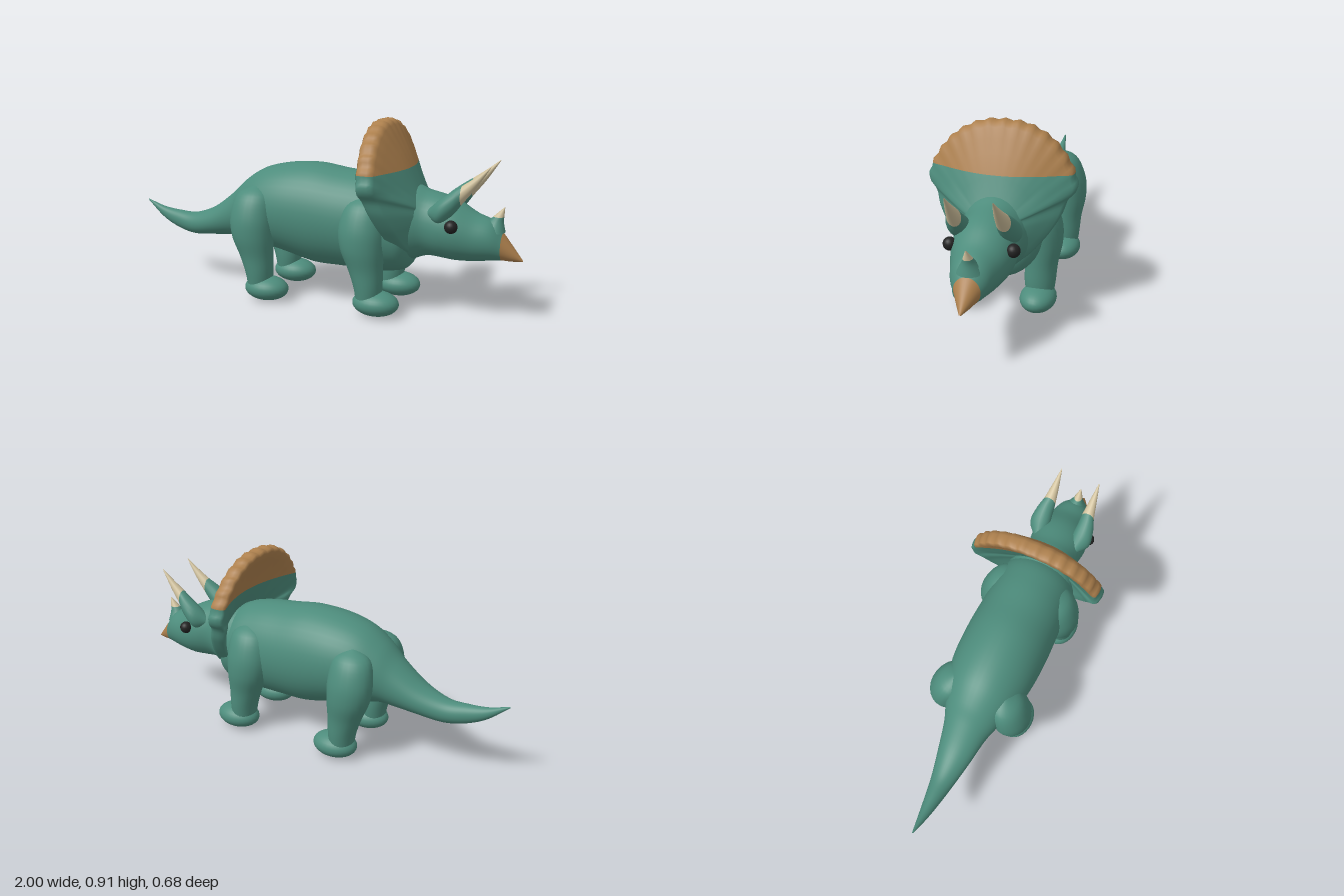
import * as THREE from 'three';

const paint = (color) => new THREE.MeshStandardMaterial({ color });
const GREEN = paint(0x4d8c7c), BROWN = paint(0xad804d), BONE = paint(0xcfc09c), BLACK = paint(0x222222);

// Smooth skin over closed rings that run counter-clockwise about the direction of travel
function skin(rings) {
  const n = rings[0].length, index = [];
  for (let i = 0; i < rings.length - 1; i++) {
    for (let j = 0; j < n; j++) {
      const k = (j + 1) % n, a = i * n + j, b = i * n + k;
      index.push(a, b, a + n, b, b + n, a + n);
    }
  }
  const g = new THREE.BufferGeometry().setFromPoints(rings.flat());
  g.setIndex(index);
  g.computeVertexNormals();
  return g;
}

// Elliptical loft along x or y; station = [x, y, z, first radius, z radius]
function loft(axis, stations, sides = 32, steps = 5) {
  const spline = (f) => new THREE.CatmullRomCurve3(stations.map(f), false, 'catmullrom', 0.5);
  const centre = spline((s) => new THREE.Vector3(s[0], s[1], s[2]));
  const radius = spline((s) => new THREE.Vector3(s[3], s[4], 0));
  const count = (stations.length - 1) * steps, rings = [];
  for (let i = 0; i <= count; i++) {
    const c = centre.getPoint(i / count), r = radius.getPoint(i / count), ring = [];
    const ra = Math.max(r.x, 0.001), rz = Math.max(r.y, 0.001);
    for (let j = 0; j < sides; j++) {
      const t = (j / sides) * Math.PI * 2, p = c.clone();
      if (axis === 'x') p.add(new THREE.Vector3(0, ra * Math.cos(t), rz * Math.sin(t)));
      else p.add(new THREE.Vector3(ra * Math.sin(t), 0, rz * Math.cos(t)));
      ring.push(p);
    }
    rings.push(ring);
  }
  return skin(rings);
}

// Keeps the part of a geometry on one side of an axis-aligned plane
function clip(geometry, axis, value, sign) {
  const g = geometry.toNonIndexed(), P = g.attributes.position, N = g.attributes.normal;
  const pos = [], nor = [];
  for (let i = 0; i < P.count; i += 3) {
    const tri = [0, 1, 2].map((k) => ({
      p: new THREE.Vector3().fromBufferAttribute(P, i + k),
      n: new THREE.Vector3().fromBufferAttribute(N, i + k),
    }));
    const out = [];
    tri.forEach((a, k) => {
      const b = tri[(k + 1) % 3];
      const da = sign * (a.p[axis] - value), db = sign * (b.p[axis] - value);
      if (da >= 0) out.push(a);
      if (da * db < 0) {
        const t = da / (da - db);
        out.push({ p: a.p.clone().lerp(b.p, t), n: a.n.clone().lerp(b.n, t).normalize() });
      }
    });
    for (let k = 1; k < out.length - 1; k++) {
      for (const v of [out[0], out[k], out[k + 1]]) {
        pos.push(...v.p.toArray());
        nor.push(...v.n.toArray());
      }
    }
  }
  const result = new THREE.BufferGeometry();
  result.setAttribute('position', new THREE.Float32BufferAttribute(pos, 3));
  result.setAttribute('normal', new THREE.Float32BufferAttribute(nor, 3));
  return result;
}

// Broad, dished neck shield with a scalloped rolled rim
function frillGeometry() {
  const half = [[0, 0.9], [0.1, 0.89], [0.19, 0.85], [0.26, 0.79], [0.32, 0.7], [0.338, 0.62],
    [0.3, 0.57], [0.275, 0.5], [0.21, 0.4], [0.12, 0.31], [0, 0.28]];
  const loop = [...half, ...half.slice(1, -1).reverse().map(([z, y]) => [-z, y])];
  const outline = new THREE.CatmullRomCurve3(loop.map(([z, y]) => new THREE.Vector3(0, y, z)), true, 'catmullrom', 0.5);
  const edge = outline.getSpacedPoints(120).slice(0, 120);
  const middle = 0.47;
  const leanX = (y) => (y > 0.6 ? 0.33 + (0.91 - y) * 0.1 : 0.361 + (0.6 - y) * 0.36);
  // [scale, x offset] from the middle of the back, over the rim, to the middle of the front
  const profile = [[0.1, 0.07], [0.3, 0.055], [0.5, 0.03], [0.7, 0.002], [0.85, -0.022], [0.95, -0.042],
    [0.985, -0.034], [1, -0.01], [1, 0.015], [0.985, 0.033], [0.95, 0.043], [0.85, 0.062],
    [0.7, 0.09], [0.5, 0.125], [0.3, 0.15], [0.1, 0.17]];
  return skin(profile.map(([s, dx]) => edge.map((p, j) => {
    const scallop = p.y > 0.62 ? 1 + 0.012 * s ** 6 * Math.cos((j / 120) * Math.PI * 2 * 30) : 1;
    const y = middle + (p.y - middle) * s * scallop;
    return new THREE.Vector3(leanX(y) + dx, y, p.z * s * scallop);
  })));
}

export function createModel() {
  const model = new THREE.Group();
  const add = (name, geometry, material, parent = model) => {
    const mesh = new THREE.Mesh(geometry, material);
    mesh.name = name;
    parent.add(mesh);
    return mesh;
  };

  // Tail, trunk and chest
  add('body', loft('x', [
    [-1, 0.4, 0, 0.003, 0.003], [-0.9, 0.342, 0, 0.029, 0.024], [-0.8, 0.312, 0, 0.047, 0.042],
    [-0.7, 0.302, 0, 0.057, 0.06], [-0.58, 0.33, 0, 0.075, 0.085], [-0.46, 0.38, 0, 0.115, 0.11],
    [-0.38, 0.42, 0, 0.15, 0.14], [-0.28, 0.437, 0, 0.195, 0.18], [-0.15, 0.44, 0, 0.225, 0.205],
    [0, 0.428, 0, 0.247, 0.212], [0.14, 0.418, 0, 0.24, 0.208], [0.28, 0.41, 0, 0.232, 0.2],
    [0.4, 0.395, 0, 0.212, 0.19], [0.48, 0.37, 0, 0.15, 0.15], [0.53, 0.36, 0, 0.003, 0.003],
  ], 40), GREEN);

  // Head with a beak at its end
  const head = loft('x', [
    [0.36, 0.42, 0, 0.17, 0.19], [0.48, 0.43, 0, 0.18, 0.165], [0.56, 0.432, 0, 0.155, 0.137],
    [0.64, 0.422, 0, 0.147, 0.143], [0.7, 0.408, 0, 0.138, 0.137], [0.78, 0.387, 0, 0.113, 0.112],
    [0.86, 0.377, 0, 0.092, 0.086], [0.91, 0.35, 0, 0.06, 0.055], [0.95, 0.325, 0, 0.036, 0.032],
    [1, 0.295, 0, 0.003, 0.003],
  ]);
  add('head', clip(head, 'x', 0.905, -1), GREEN);
  add('beak', clip(head, 'x', 0.905, 1), BROWN);

  // Frill in two colours
  const frill = frillGeometry();
  add('frillBase', clip(frill, 'y', 0.69, -1), GREEN);
  add('frillTop', clip(frill, 'y', 0.69, 1), BROWN);

  // Nose horn
  const noseHorn = loft('y', [
    [0.855, 0.42, 0, 0.06, 0.06], [0.87, 0.465, 0, 0.036, 0.032],
    [0.885, 0.495, 0, 0.022, 0.019], [0.907, 0.535, 0, 0.002, 0.002],
  ], 16);
  add('noseHornBase', clip(noseHorn, 'y', 0.49, -1), GREEN);
  add('noseHorn', clip(noseHorn, 'y', 0.49, 1), BONE);

  for (const side of [1, -1]) {
    // Brow horns and eyes
    const horn = loft('x', [
      [0.585, 0.5, side * 0.1, 0.02, 0.02], [0.64, 0.515, side * 0.113, 0.056, 0.05],
      [0.7, 0.56, side * 0.112, 0.055, 0.043], [0.74, 0.6, side * 0.105, 0.042, 0.032],
      [0.8, 0.66, side * 0.102, 0.025, 0.018], [0.86, 0.73, side * 0.1, 0.002, 0.002],
    ], 18);
    add('browHornBase', clip(horn, 'x', 0.735, -1), GREEN);
    add('browHorn', clip(horn, 'x', 0.735, 1), BONE);
    add('eye', new THREE.SphereGeometry(0.03, 20, 14), BLACK).position.set(0.7, 0.455, side * 0.139);

    // Stout legs with round feet pointing forward
    for (const [name, x] of [['rearLeg', -0.28], ['frontLeg', 0.29]]) {
      const leg = new THREE.Group();
      leg.name = name;
      leg.position.x = x;
      model.add(leg);
      add('shank', loft('y', [
        [0.035, 0.03, side * 0.165, 0.055, 0.06], [0.032, 0.13, side * 0.165, 0.067, 0.073],
        [0.018, 0.22, side * 0.168, 0.083, 0.077], [0, 0.32, side * 0.17, 0.105, 0.092],
        [-0.005, 0.42, side * 0.163, 0.11, 0.092], [0, 0.52, side * 0.14, 0.088, 0.07],
        [0.01, 0.57, side * 0.12, 0.002, 0.002],
      ], 24), GREEN, leg);
      const foot = add('foot', new THREE.SphereGeometry(1, 28, 18), GREEN, leg);
      foot.scale.set(0.112, 0.06, 0.085);
      foot.position.set(0.07, 0.06, side * 0.165);
    }
  }
  return model;
}
